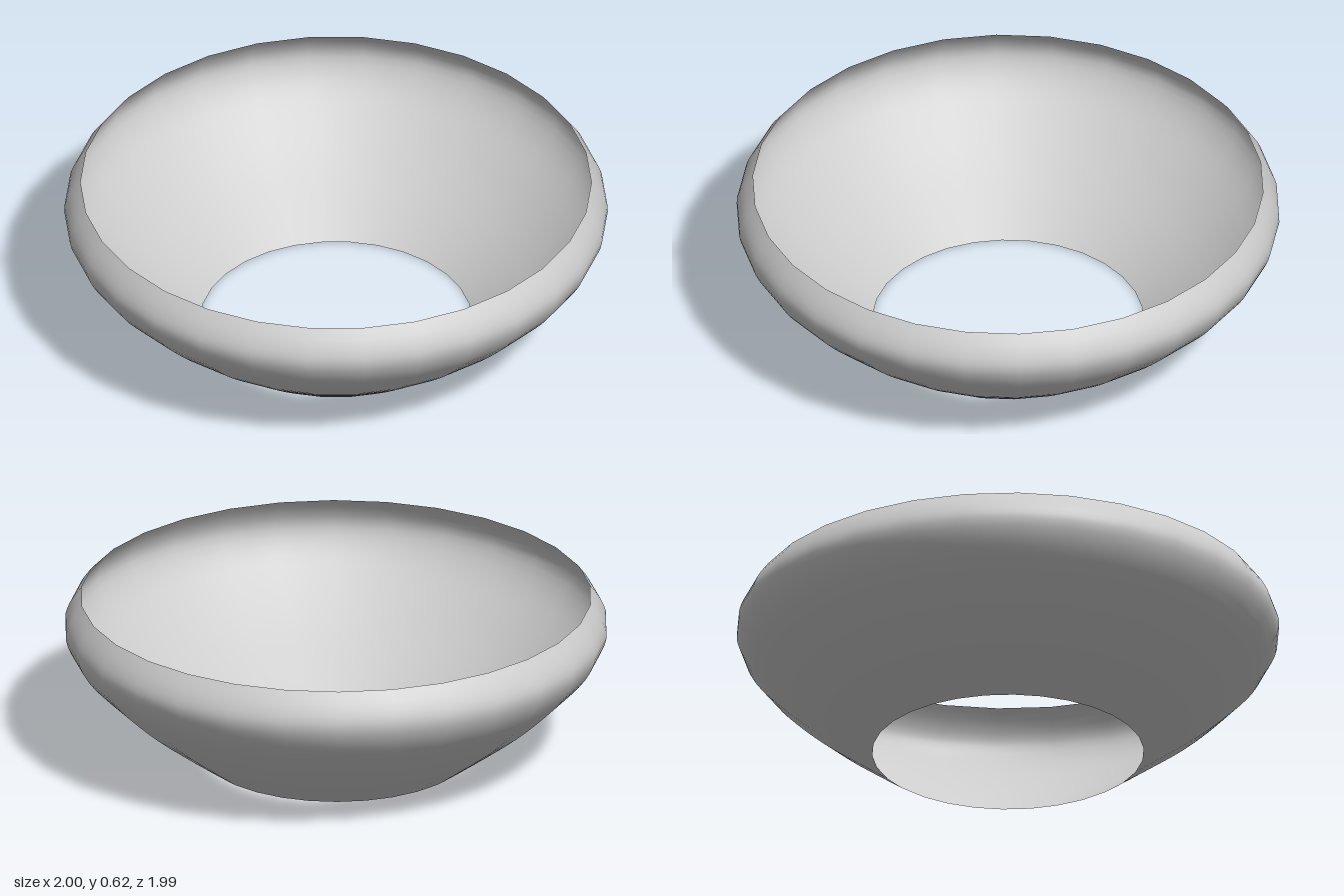
import * as THREE from 'three';

export function createModel() {
  const group = new THREE.Group();
  group.name = 'openBowl';

  // Thin wall profile (radius, height): flared base, rounded belly, inward rim
  const wall = new THREE.SplineCurve([
    [0.5, 0], [0.63, 0.095], [0.76, 0.195], [0.875, 0.3], [0.96, 0.395],
    [1, 0.485], [0.982, 0.555], [0.94, 0.615],
  ].map(([r, y]) => new THREE.Vector2(r, y)));

  // 30-sided revolution with a corner on the x axis, open at top and bottom
  const geometry = new THREE.LatheGeometry(wall.getPoints(21), 30, Math.PI / 2);
  const material = new THREE.MeshStandardMaterial({ color: 0xcccccc, side: THREE.DoubleSide });
  const bowl = new THREE.Mesh(geometry, material);
  bowl.name = 'bowlWall';
  group.add(bowl);
  return group;
}
